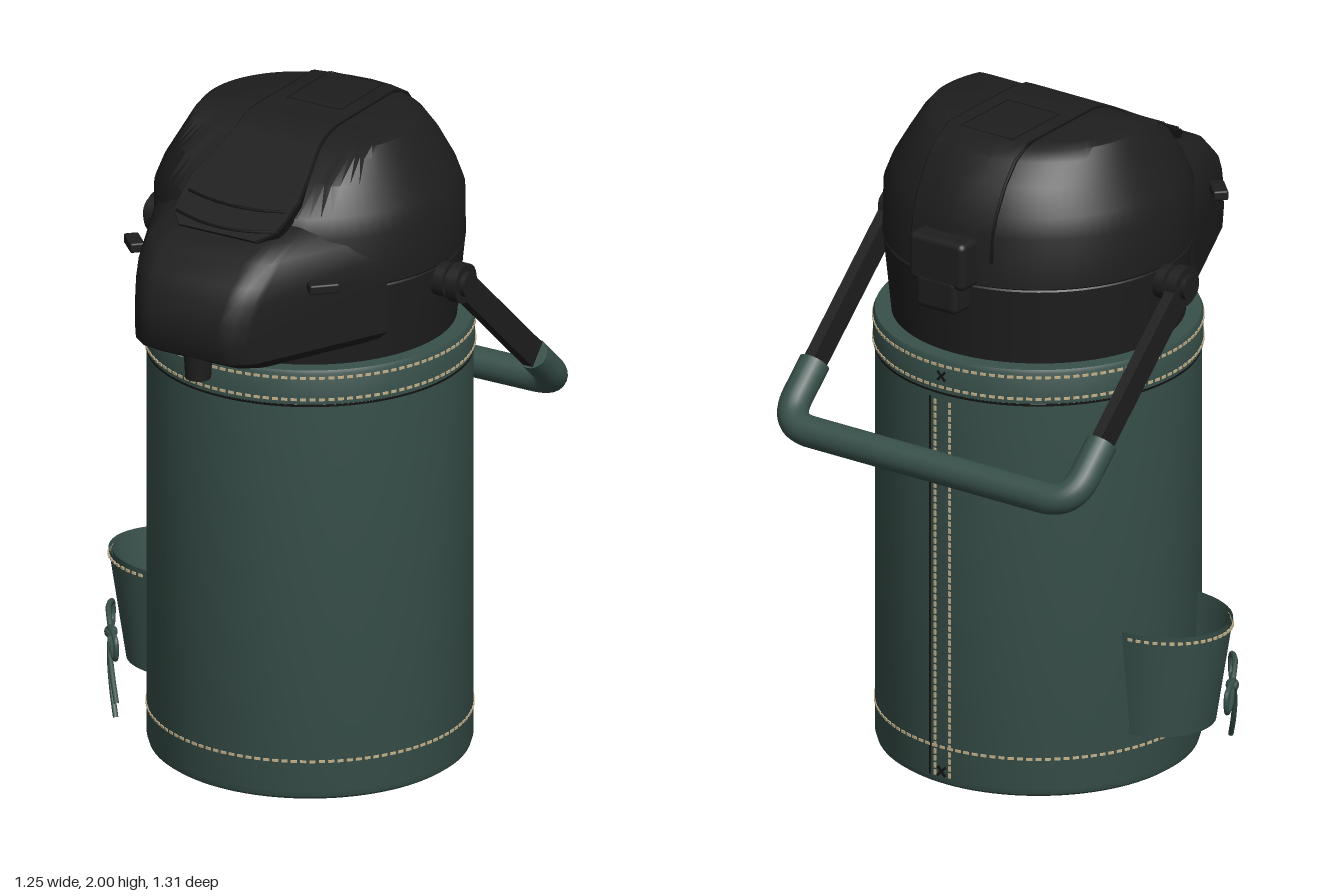
import * as THREE from 'three';
import { mergeGeometries, toCreasedNormals } from 'three/addons/utils/BufferGeometryUtils.js';
import { RoundedBoxGeometry } from 'three/addons/geometries/RoundedBoxGeometry.js';

const mat = (name, color, side = THREE.FrontSide) => {
  const m = new THREE.MeshStandardMaterial({ color, side });
  m.name = name;
  return m;
};
const V = (x, y, z) => new THREE.Vector3(x, y, z);

// Skin through closed rings of equal length, capped at both ends
function loft(rings, crease = 0.5, caps = true) {
  const n = rings[0].length, pos = [], idx = [];
  rings.forEach(r => r.forEach(p => pos.push(p.x, p.y, p.z)));
  for (let i = 0; i < rings.length - 1; i++) for (let j = 0; j < n; j++) {
    const a = i * n + j, b = i * n + (j + 1) % n;
    idx.push(a, a + n, b, b, a + n, b + n);
  }
  if (caps) [0, rings.length - 1].forEach((k, end) => {
    const c = rings[k].reduce((s, p) => s.add(p), V(0, 0, 0)).divideScalar(n);
    const ci = pos.length / 3;
    pos.push(c.x, c.y, c.z);
    for (let j = 0; j < n; j++) {
      const a = k * n + j, b = k * n + (j + 1) % n;
      if (end) idx.push(ci, b, a); else idx.push(ci, a, b);
    }
  });
  const g = new THREE.BufferGeometry();
  g.setAttribute('position', new THREE.Float32BufferAttribute(pos, 3));
  g.setIndex(idx);
  g.computeVertexNormals();
  return toCreasedNormals(g, crease);
}

export function createModel() {
  const green = mat('green canvas', 0x38504a);
  const pocketGreen = mat('green pocket canvas', 0x38504a, THREE.DoubleSide);
  const black = mat('black plastic', 0x1e1e1e);
  const dark = mat('dark seam', 0x121212);
  const thread = mat('tan thread', 0xc2b08a);

  const model = new THREE.Group();
  const jug = new THREE.Group(); // everything is built around the jug's axis
  jug.name = 'jug';
  jug.position.set(0.06, 0, -0.05);
  model.add(jug);
  const add = (name, geo, m, parent = jug, x = 0, y = 0, z = 0) => {
    const mesh = new THREE.Mesh(geo, m);
    mesh.name = name;
    mesh.position.set(x, y, z);
    parent.add(mesh);
    return mesh;
  };

  // Fabric sleeve with a raised collar
  const profile = [[0, 0], [0.458, 0], [0.472, 0.01], [0.478, 0.03], [0.478, 1.245], [0.474, 1.25],
    [0.483, 1.255], [0.483, 1.35], [0.478, 1.36], [0.42, 1.36]].map(p => new THREE.Vector2(...p));
  add('sleeve', toCreasedNormals(new THREE.LatheGeometry(profile, 96), 0.5), green);
  add('collarGroove', new THREE.CylinderGeometry(0.4805, 0.4805, 0.007, 96, 1, true), dark, jug, 0, 1.249, 0);

  // Stitching: rings of dashes and two columns at the back seam
  const dashes = [];
  for (const [y, r] of [[0.125, 0.478], [1.27, 0.483], [1.338, 0.483]]) {
    const count = 110;
    for (let i = 0; i < count; i++) {
      dashes.push(new THREE.BoxGeometry(0.018, 0.008, 0.006).translate(0, y, r).rotateY(i / count * Math.PI * 2));
    }
  }
  for (const s of [-1, 1]) for (let i = 0; i < 54; i++) {
    dashes.push(new THREE.BoxGeometry(0.008, 0.015, 0.006).translate(0, 0.04 + i * 0.0222, -0.4785).rotateY(s * 0.055));
  }
  add('stitching', mergeGeometries(dashes), thread);
  add('backSeam', new THREE.BoxGeometry(0.006, 1.2, 0.004), dark, jug, 0.045, 0.63, -0.476).rotation.y = -0.094;
  for (const y of [0.05, 1.305]) for (const s of [-1, 1]) {
    add('seamCross', new THREE.BoxGeometry(0.04, 0.007, 0.006), dark, jug, 0, y, -0.483).rotation.z = s * 0.8;
  }

  // Pump head: round at the base, wedge cut at the front. [y, radius, back radius, front limit]
  const headRings = [[1.34, 0.43, 0.425, 1], [1.595, 0.455, 0.452, 1], [1.6, 0.452, 0.448, 1],
    [1.605, 0.456, 0.455, 1], [1.76, 0.456, 0.447, 0.46], [1.82, 0.432, 0.428, 0.42], [1.9, 0.385, 0.388, 0.285],
    [1.96, 0.35, 0.338, 0.18], [1.985, 0.33, 0.295, 0.13], [1.996, 0.3, 0.25, 0.08]
  ].map(([y, r, rb, zf]) => Array.from({ length: 80 }, (_, i) => {
    const a = i / 80 * Math.PI * 2, s = Math.sin(a);
    return V(Math.cos(a) * r, y, s < 0 ? s * rb : Math.min(s * r, zf));
  }));
  add('pumpHead', loft(headRings, 0.45), black);

  // Tapering spout nose. [y, front z, inset]
  const noseRings = [[1.42, 0.58, 0.03], [1.45, 0.635, 0], [1.5, 0.655, 0], [1.57, 0.65, 0], [1.63, 0.627, 0],
    [1.68, 0.6, 0.005], [1.74, 0.54, 0.03], [1.775, 0.45, 0.075], [1.8, 0.38, 0.12]].map(([y, zf, inset]) => {
    const w = z => 0.355 - 0.47 * (z - 0.27) - inset;
    const half = [[w(0.17), 0.17], [w(0.3), 0.3], [w(zf - 0.06), zf - 0.06], [w(zf - 0.04) - 0.005, zf - 0.04],
      [w(zf) - 0.015, zf - 0.018], [w(zf) - 0.035, zf - 0.004], [w(zf) - 0.06, zf]];
    return [...half, ...half.slice().reverse().map(([x, z]) => [-x, z])].map(([x, z]) => V(x, y, z + 0.05));
  });
  add('spoutNose', loft(noseRings, 0.6), black);
  add('nozzle', new THREE.CylinderGeometry(0.043, 0.038, 0.09, 24), black, jug, 0, 1.405, 0.62);

  // Raised strip over the lid, following its side profile. [z, y, half width, edge sag]
  const lidPath = [[-0.455, 1.68, 0.14, 0.022], [-0.444, 1.77, 0.14, 0.022], [-0.428, 1.82, 0.14, 0.023],
    [-0.388, 1.9, 0.14, 0.026], [-0.338, 1.96, 0.14, 0.026], [-0.26, 1.995, 0.14, 0.015], [0.08, 1.996, 0.14, 0],
    [0.13, 1.985, 0.14, 0], [0.18, 1.96, 0.142, 0], [0.285, 1.9, 0.168, 0], [0.36, 1.86, 0.185, 0],
    [0.42, 1.822, 0.18, 0], [0.47, 1.797, 0.175, 0], [0.51, 1.772, 0.13, 0]];
  const lidStrip = (lift, extra) => lidPath.map(([z, y, w, sag], i) => {
    const a = lidPath[Math.max(i - 1, 0)], b = lidPath[Math.min(i + 1, lidPath.length - 1)];
    const n = new THREE.Vector2(-(b[1] - a[1]), b[0] - a[0]).normalize();
    const row = [-1, -0.5, 0, 0.5, 1];
    const point = (t, h) => V(t * (w + extra), Math.min(y + n.y * h, 2), z + n.x * h + sag * t * t);
    return [...row.map(t => point(t, lift)), ...row.slice().reverse().map(t => point(t, -0.025))];
  });
  add('lidSeam', loft(lidStrip(0.003, 0.006)), dark);
  add('lidStrip', loft(lidStrip(0.008, 0)), black);

  // Push button outline on top and finger recess at the front of the strip
  const outline = new THREE.Shape([[-0.095, -0.12], [0.095, -0.12], [0.095, 0.12], [-0.095, 0.12]].map(p => new THREE.Vector2(...p)));
  outline.holes.push(new THREE.Path([[-0.09, -0.115], [-0.09, 0.115], [0.09, 0.115], [0.09, -0.115]].map(p => new THREE.Vector2(...p))));
  add('topPanelLine', new THREE.ShapeGeometry(outline), dark, jug, 0, 2.0008, -0.14).rotation.x = -Math.PI / 2;
  for (const [z, y, bow] of [[0.405, 1.842, 0.02], [0.475, 1.803, 0.025]]) {
    const curve = new THREE.QuadraticBezierCurve3(V(-0.165, y, z), V(0, y - bow, z + bow * 1.8), V(0.165, y, z));
    add('fingerRecessLine', new THREE.TubeGeometry(curve, 16, 0.005, 6), dark);
  }

  // Hinge block at the back
  add('hinge', new RoundedBoxGeometry(0.2, 0.15, 0.12, 3, 0.02), black, jug, 0, 1.675, -0.455);
  add('hingeLatch', new RoundedBoxGeometry(0.15, 0.11, 0.1, 3, 0.02), black, jug, 0, 1.575, -0.467);

  // Side tabs and handle pivots
  for (const s of [-1, 1]) {
    const tab = add('sideTab', new RoundedBoxGeometry(0.09, 0.03, 0.045, 2, 0.006), black, jug, s * 0.325, 1.655, 0.45);
    tab.rotation.y = s * -Math.PI / 4 * -1;
    for (const [name, r, x0, x1] of [['pivotBoss', 0.052, 0.42, 0.485], ['pivotPin', 0.038, 0.46, 0.552]]) {
      add(name, new THREE.CylinderGeometry(r, r, x1 - x0, 28), black, jug, s * (x0 + x1) / 2, 1.555, 0).rotation.z = Math.PI / 2;
    }
  }

  // Swinging carry handle, hanging backwards from the pivots
  const handle = new THREE.Group();
  handle.name = 'handle';
  handle.position.set(0, 1.555, 0);
  handle.rotation.x = 0.832;
  jug.add(handle);
  const path = new THREE.CurvePath();
  const e = 0.518, b = -0.752, c = 0.1;
  path.add(new THREE.LineCurve3(V(-e, -0.54, 0), V(-e, b + c, 0)));
  path.add(new THREE.QuadraticBezierCurve3(V(-e, b + c, 0), V(-e, b, 0), V(-e + c, b, 0)));
  path.add(new THREE.LineCurve3(V(-e + c, b, 0), V(e - c, b, 0)));
  path.add(new THREE.QuadraticBezierCurve3(V(e - c, b, 0), V(e, b, 0), V(e, b + c, 0)));
  path.add(new THREE.LineCurve3(V(e, b + c, 0), V(e, -0.54, 0)));
  add('handleGrip', new THREE.TubeGeometry(path, 120, 0.047, 20), green, handle);
  for (const s of [-1, 1]) {
    add('handleArm', new THREE.BoxGeometry(0.034, 0.56, 0.08), black, handle, s * e, -0.28, 0);
    add('handleArmEye', new THREE.CylinderGeometry(0.06, 0.06, 0.036, 28), black, handle, s * e, 0, 0).rotation.z = Math.PI / 2;
    add('gripEnd', new THREE.CircleGeometry(0.047, 20), green, handle, s * e, -0.54, 0).rotation.x = -Math.PI / 2;
  }

  // Tapered side pocket, open at the top
  const pocketRing = (y, reach, half) => Array.from({ length: 48 }, (_, i) => {
    const a = i / 48 * Math.PI * 2;
    return V(-0.43 + Math.cos(a) * (Math.cos(a) < 0 ? reach : 0.02), y, Math.sin(a) * half);
  });
  const pocket = [[0.17, 0.176, 0.165], [0.5, 0.236, 0.19]];
  add('pocket', loft(pocket.map(p => pocketRing(...p)), 0.5, false), pocketGreen);
  add('pocketFloor', loft([pocketRing(0.17, 0.176, 0.165), pocketRing(0.18, 0.177, 0.166)]), green);
  add('pocketLining', loft([pocketRing(0.19, 0.168, 0.155), pocketRing(0.497, 0.225, 0.18)], 0.5, false), pocketGreen);
  const hem = [];
  for (let i = 0; i < 26; i++) {
    const a = Math.PI * (0.55 + 0.9 * i / 25);
    hem.push(new THREE.BoxGeometry(0.006, 0.008, 0.014).rotateY(Math.PI - a)
      .translate(-0.43 + Math.cos(a) * 0.235, 0.482, Math.sin(a) * 0.19));
  }
  add('pocketStitching', mergeGeometries(hem), thread);

  // Cord bow tied on the pocket: local x runs along the pocket wall
  const bow = new THREE.Group();
  bow.name = 'bow';
  bow.position.set(-0.59, 0.26, 0.135);
  bow.rotation.y = -0.985;
  jug.add(bow);
  const cord = (name, pts, closed) => add(name, new THREE.TubeGeometry(
    new THREE.CatmullRomCurve3(pts.map(p => V(...p)), closed), 36, 0.008, 8, closed), green, bow);
  for (const s of [-1, 1]) {
    cord('bowLoop', [[0, 0, 0.01], [s * 0.08, 0.045, 0.015], [s * 0.155, 0.03, 0], [s * 0.15, -0.025, 0], [s * 0.07, -0.025, 0.01]], true);
  }
  cord('bowTail', [[0, 0, 0.01], [0.05, -0.06, 0.015], [0.09, -0.14, 0.01], [0.14, -0.215, 0]], false);
  cord('bowTail', [[0, 0, 0.01], [0.06, -0.03, 0.015], [0.14, -0.08, 0.01], [0.22, -0.14, 0]], false);
  add('bowKnot', new THREE.SphereGeometry(0.02, 14, 10), green, bow, 0, 0, 0.01);

  return model;
}
